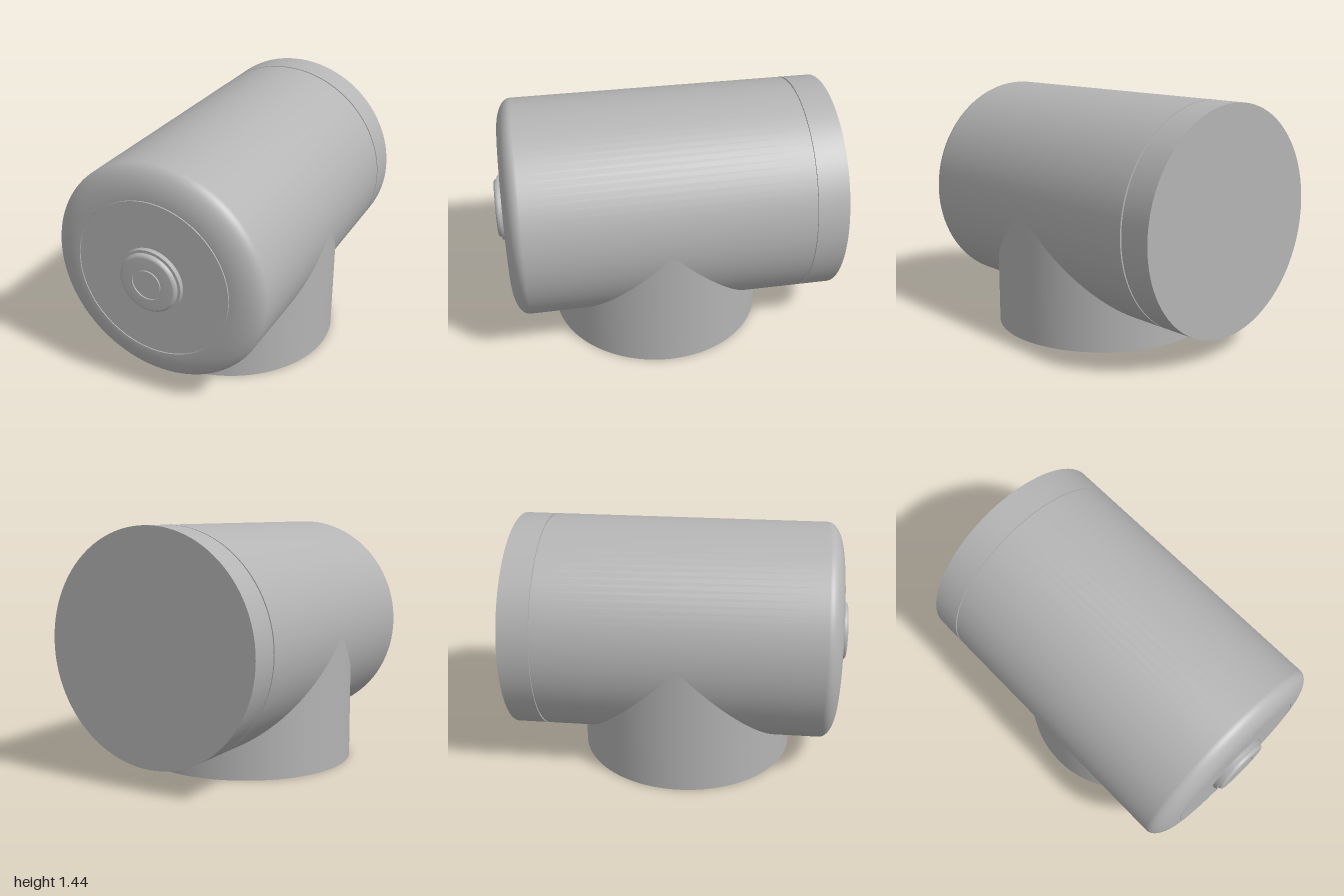
import * as THREE from 'three';
import { toCreasedNormals } from 'three/addons/utils/BufferGeometryUtils.js';

const R = 0.657; // shared radius of barrel and stem
const AXIS_Y = 0.787; // height of the barrel axis
const STEM_Z = 0.025;
const SEGMENTS = 96;

export function createModel() {
  const model = new THREE.Group();
  const grey = new THREE.MeshStandardMaterial({ color: 0xb4b4b4 });
  grey.name = 'grey';

  const add = (name, geometry, y, z) => {
    const mesh = new THREE.Mesh(geometry, grey);
    mesh.name = name;
    mesh.position.set(0, y, z);
    model.add(mesh);
  };

  // Turned part on the barrel axis; profile is [radius, z] from back to front
  const turned = (name, profile) => {
    const points = profile.map(([r, z]) => new THREE.Vector2(r, z));
    const geometry = new THREE.LatheGeometry(points, SEGMENTS).rotateX(Math.PI / 2);
    add(name, toCreasedNormals(geometry, 0.5), AXIS_Y, 0);
  };

  // Quarter ellipse from (r + a, z) to (r, z + b)
  const rounded = (r, z, a, b, steps) => Array.from({ length: steps + 1 }, (_, i) => {
    const t = (i / steps) * Math.PI / 2;
    return [r + a * Math.cos(t), z + b * Math.sin(t)];
  });

  // Rear cap, separated from the barrel by a narrow groove
  turned('rearCap', [[0, -1], [R, -1], [R, -0.815], [R - 0.01, -0.815]]);

  // Barrel with its rounded front rim and a groove round the front plate
  turned('barrel', [
    [R - 0.01, -0.815], [R - 0.01, -0.805], [R, -0.805],
    ...rounded(0.473, 0.855, R - 0.473, 0.095, 16),
    [0.473, 0.942], [0.467, 0.942],
  ]);
  turned('frontPlate', [[0.467, 0.942], [0.467, 0.95], [0, 0.95]]);

  // Stepped button with a ring groove
  turned('buttonBase', [[0.195, 0.945], [0.195, 0.978], [0.178, 0.978]]);
  turned('button', [
    [0.178, 0.976], ...rounded(0.16, 0.978, 0.018, 0.022, 8),
    [0.095, 1], [0.095, 0.992], [0.08, 0.992], [0.08, 1], [0, 1],
  ]);

  // Stem, its top edge cut to meet the barrel
  const stem = new THREE.CylinderGeometry(R, R, AXIS_Y, SEGMENTS, 1, true).translate(0, AXIS_Y / 2, 0);
  const p = stem.attributes.position;
  for (let i = 0; i < p.count; i++) {
    if (p.getY(i) > 0.1) p.setY(i, AXIS_Y - Math.abs(p.getZ(i)));
  }
  add('stem', stem, 0, STEM_Z);
  add('stemBase', new THREE.CircleGeometry(R, SEGMENTS).rotateX(Math.PI / 2), 0, STEM_Z);

  return model;
}
